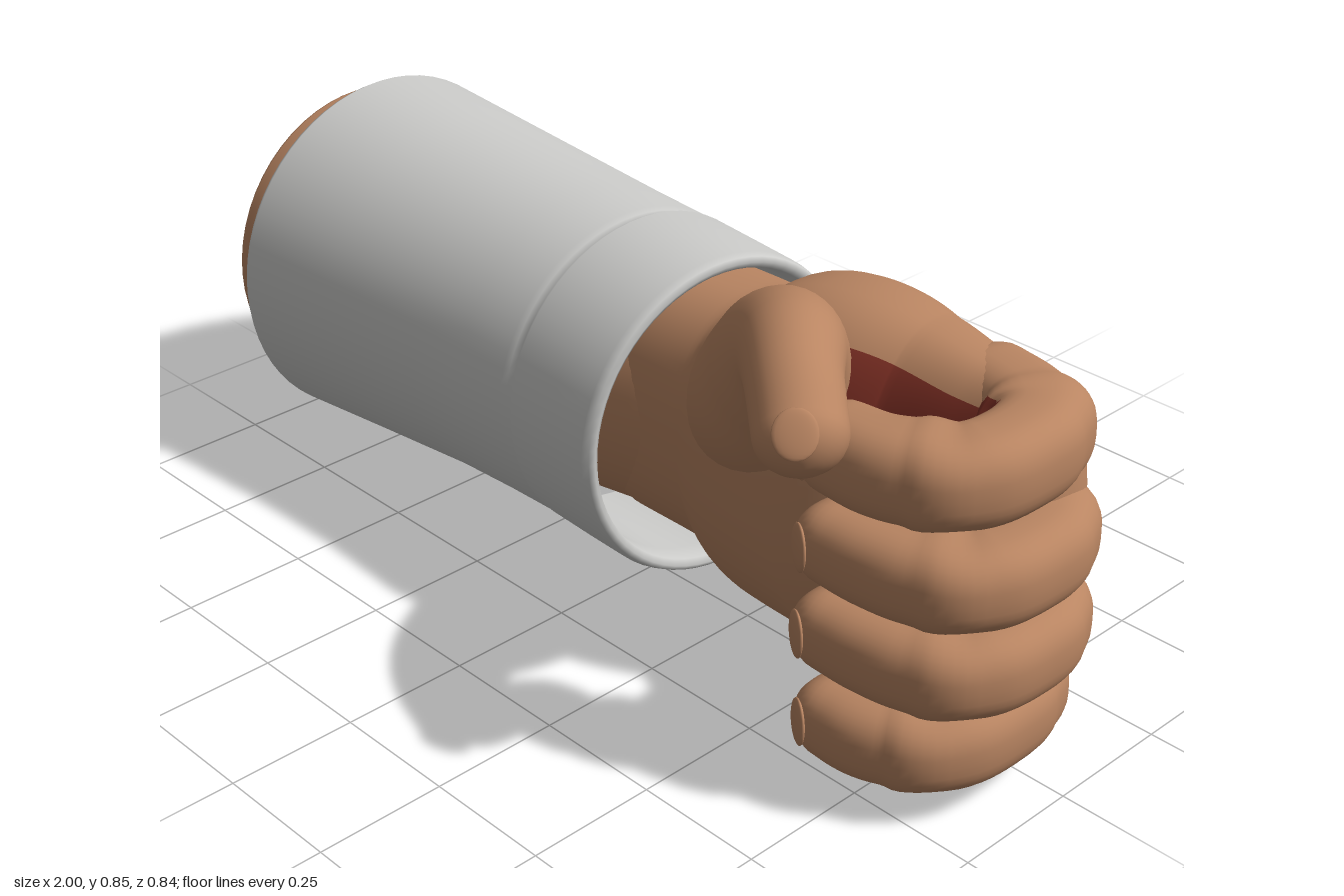
import * as THREE from 'three';

const mat = (name, color, side = THREE.FrontSide) => {
  const m = new THREE.MeshStandardMaterial({ color, side });
  m.name = name;
  return m;
};

// Skin over a list of equal rings; isInner(point, angle) picks the second material.
function loft(rings, isInner = () => false) {
  const n = rings[0].length, pos = [], outer = [], inner = [];
  rings.forEach(r => r.forEach(p => pos.push(p.x, p.y, p.z)));
  for (let i = 0; i < rings.length - 1; i++) {
    for (let j = 0; j < n; j++) {
      const k = (j + 1) % n, a = i * n + j, b = i * n + k, c = a + n, d = b + n;
      const list = isInner(rings[i][j], (j + 0.5) / n * Math.PI * 2) ? inner : outer;
      list.push(a, b, c, b, d, c);
    }
  }
  const g = new THREE.BufferGeometry();
  g.setAttribute('position', new THREE.Float32BufferAttribute(pos, 3));
  g.setIndex([...outer, ...inner]);
  g.addGroup(0, outer.length, 0);
  g.addGroup(outer.length, inner.length, 1);
  g.computeVertexNormals();
  return g;
}

// Ring around c with half axes a and b; e below 1 makes it squarer.
function ring(c, a, b, n, e = 1) {
  const pw = v => Math.sign(v) * Math.abs(v) ** e;
  return Array.from({ length: n }, (_, j) => {
    const t = j / n * Math.PI * 2;
    return c.clone().addScaledVector(a, pw(Math.cos(t))).addScaledVector(b, pw(Math.sin(t)));
  });
}

// Sweep along points [x, y, z, half height, half depth] with domed ends of length cap.
function sweep(pts, { steps = 40, n = 32, e = 1, cap = 0.07, inner } = {}) {
  const path = new THREE.CatmullRomCurve3(pts.map(p => new THREE.Vector3(p[0], p[1], p[2])));
  const size = new THREE.CatmullRomCurve3(pts.map(p => new THREE.Vector3(p[3], p[4], 0)));
  const rings = [];
  const add = (t, slide, scale) => {
    const tan = path.getTangent(t), s = size.getPoint(t);
    const a = new THREE.Vector3(0, 1, 0).addScaledVector(tan, -tan.y).normalize();
    const b = tan.clone().cross(a);
    const c = path.getPoint(t).addScaledVector(tan, slide);
    rings.push(ring(c, a.multiplyScalar(s.x * scale), b.multiplyScalar(s.y * scale), n, e));
  };
  const dome = 8;
  for (let i = 0; i < dome; i++) {
    const q = (1 - i / dome) * Math.PI / 2;
    add(0, -cap * Math.sin(q), Math.max(Math.cos(q), 0.002));
  }
  for (let i = 0; i <= steps; i++) add(i / steps, 0, 1);
  for (let i = 1; i <= dome; i++) {
    const q = i / dome * Math.PI / 2;
    add(1, cap * Math.sin(q), Math.max(Math.cos(q), 0.002));
  }
  return loft(rings, inner);
}

export function createModel() {
  const model = new THREE.Group();
  model.name = 'fistWithSleeve';
  const skin = mat('skin', 0xb98562);
  const red = mat('innerRed', 0x7d2f24, THREE.DoubleSide);
  const cloth = mat('sleeveCloth', 0xcbcbc9);
  const add = (name, geometry, material, parent = model) => {
    const m = new THREE.Mesh(geometry, material);
    m.name = name;
    parent.add(m);
    return m;
  };

  // Sleeve: outside, rolled lip, then back along the inside
  // [x, centre y, centre z, half height, half depth, slant]
  const profile = [
    [-0.9, 0.37, -0.06, 0.33, 0.325, 0], [-0.908, 0.37, -0.06, 0.352, 0.345, 0],
    [-0.908, 0.37, -0.06, 0.363, 0.358, 0], [-0.895, 0.37, -0.06, 0.37, 0.365, 0],
    [-0.65, 0.373, -0.06, 0.352, 0.347, 0], [-0.4, 0.375, -0.06, 0.335, 0.328, 0.02],
    [-0.25, 0.375, -0.056, 0.328, 0.32, 0.05], [-0.125, 0.375, -0.052, 0.325, 0.314, 0.08],
    [-0.115, 0.375, -0.052, 0.319, 0.309, 0.08], [-0.1, 0.375, -0.052, 0.319, 0.309, 0.08],
    [-0.09, 0.375, -0.052, 0.326, 0.315, 0.08], [0.03, 0.375, -0.042, 0.325, 0.311, 0.1],
    [0.125, 0.375, -0.035, 0.323, 0.308, 0.115], [0.14, 0.375, -0.035, 0.318, 0.304, 0.115],
    [0.146, 0.375, -0.035, 0.308, 0.294, 0.115], [0.138, 0.375, -0.035, 0.296, 0.283, 0.115],
    [0.1, 0.375, -0.036, 0.29, 0.278, 0.115], [-0.15, 0.375, -0.052, 0.29, 0.28, 0.08],
  ];
  const sleeveRings = profile.map(([x, y, z, h, d, slant]) => ring(
    new THREE.Vector3(x, y, z), new THREE.Vector3(0, h, 0), new THREE.Vector3(-d * slant, 0, d), 64));
  add('sleeve', loft(sleeveRings), cloth);

  // Forearm stump behind the sleeve, narrowing to the wrist inside it
  add('forearm', sweep([
    [-0.975, 0.375, -0.055, 0.322, 0.318], [-0.94, 0.375, -0.055, 0.325, 0.32],
    [-0.9, 0.375, -0.055, 0.315, 0.31], [-0.6, 0.375, -0.055, 0.3, 0.29],
    [-0.2, 0.38, -0.06, 0.27, 0.24], [0.08, 0.38, -0.07, 0.25, 0.19],
  ], { n: 56, cap: 0.025 }), skin);

  // Palm and back of the hand: [x, bottom, top, back, front]
  const hand = new THREE.Group();
  hand.name = 'hand';
  model.add(hand);
  const palm = [
    [0.0, 0.12, 0.64, -0.265, 0.12], [0.2, 0.12, 0.645, -0.265, 0.125],
    [0.32, 0.085, 0.69, -0.265, 0.17], [0.45, 0.065, 0.755, -0.255, 0.165],
    [0.58, 0.06, 0.74, -0.225, 0.1], [0.72, 0.055, 0.72, -0.188, 0.07],
    [0.85, 0.055, 0.715, -0.15, 0.05],
  ].map(([x, y0, y1, z0, z1]) => [x, (y0 + y1) / 2, (z0 + z1) / 2, (y1 - y0) / 2, (z1 - z0) / 2]);
  add('palm', sweep(palm, {
    steps: 60, n: 64, e: 0.85, cap: 0.08,
    inner: (p, a) => Math.sin(a) > 0.55 && p.x > 0.5 + Math.max(0, 0.65 - p.y) * 0.4 && p.x < 0.9,
  }), [skin, red]);

  // A flat oval nail lying on the skin
  const nail = (name, x, y, z, normal, w, h) => {
    const m = add(name, new THREE.SphereGeometry(1, 20, 12), skin, hand);
    m.scale.set(w, h, 0.008);
    m.position.set(x, y, z);
    m.lookAt(new THREE.Vector3(x, y, z).add(normal));
  };

  // Four curled fingers: [name, centre y, half width, reach, forward]
  [
    ['index', 0.64, 0.083, -0.035, 0],
    ['middle', 0.463, 0.08, 0, -0.003],
    ['ring', 0.294, 0.08, 0, -0.003],
    ['little', 0.13, 0.079, -0.04, 0.007],
  ].forEach(([name, y, w, dx, dz], i) => {
    const tip = i === 3 ? 0.02 : 0;
    add(name + 'Finger', sweep([
      [0.72, y, -0.085, w, 0.08], [0.83 + dx / 2, y, -0.06, w * 1.02, 0.084],
      [0.905 + dx, y, -0.015, w * 1.02, 0.084], [0.922 + dx, y, 0.07, w, 0.078],
      [0.905 + dx, y, 0.155 + dz, w * 0.98, 0.08], [0.835 + dx, y, 0.21 + dz, w * 0.98, 0.08],
      [0.75, y, 0.23 + dz, w * 0.95, 0.077], [0.675 + tip, y, 0.234 + dz, w * 0.9, 0.074],
    ], {
      steps: 48, n: 36, e: 0.78, cap: 0.073,
      inner: (p, a) => Math.sin(a) > 0.6 && p.z > 0.02,
    }), [skin, red], hand);
    nail(name + 'Nail', 0.643 + tip, y, 0.296 + dz, new THREE.Vector3(-0.5, 0, 0.85), 0.034, 0.045);
  });

  // Red lining that shows in the gaps between the fingers
  const bend = new THREE.CatmullRomCurve3([
    [0.8, -0.02], [0.87, 0.0], [0.885, 0.07], [0.865, 0.14], [0.8, 0.185], [0.67, 0.2],
  ].map(([x, z]) => new THREE.Vector3(x, 0, z)));
  const lining = new THREE.PlaneGeometry(1, 0.5, 24, 1);
  const lp = lining.attributes.position;
  for (let i = 0; i < lp.count; i++) {
    const p = bend.getPoint(THREE.MathUtils.clamp(lp.getX(i) + 0.5, 0, 1));
    lp.setXYZ(i, p.x, lp.getY(i) + 0.38, p.z);
  }
  lining.computeVertexNormals();
  add('fingerLining', lining, red, hand);

  // Thumb with its broad base, reaching over the index finger
  add('thumb', sweep([
    [0.27, 0.44, 0.0, 0.13, 0.13], [0.36, 0.55, 0.075, 0.145, 0.14],
    [0.45, 0.67, 0.14, 0.135, 0.12], [0.54, 0.75, 0.215, 0.098, 0.092],
    [0.61, 0.748, 0.28, 0.083, 0.08], [0.678, 0.705, 0.335, 0.076, 0.078],
  ], { steps: 48, n: 36, cap: 0.065 }), skin, hand);
  nail('thumbNail', 0.715, 0.742, 0.388, new THREE.Vector3(0.55, 0.55, 0.65), 0.038, 0.042);

  return model;
}
